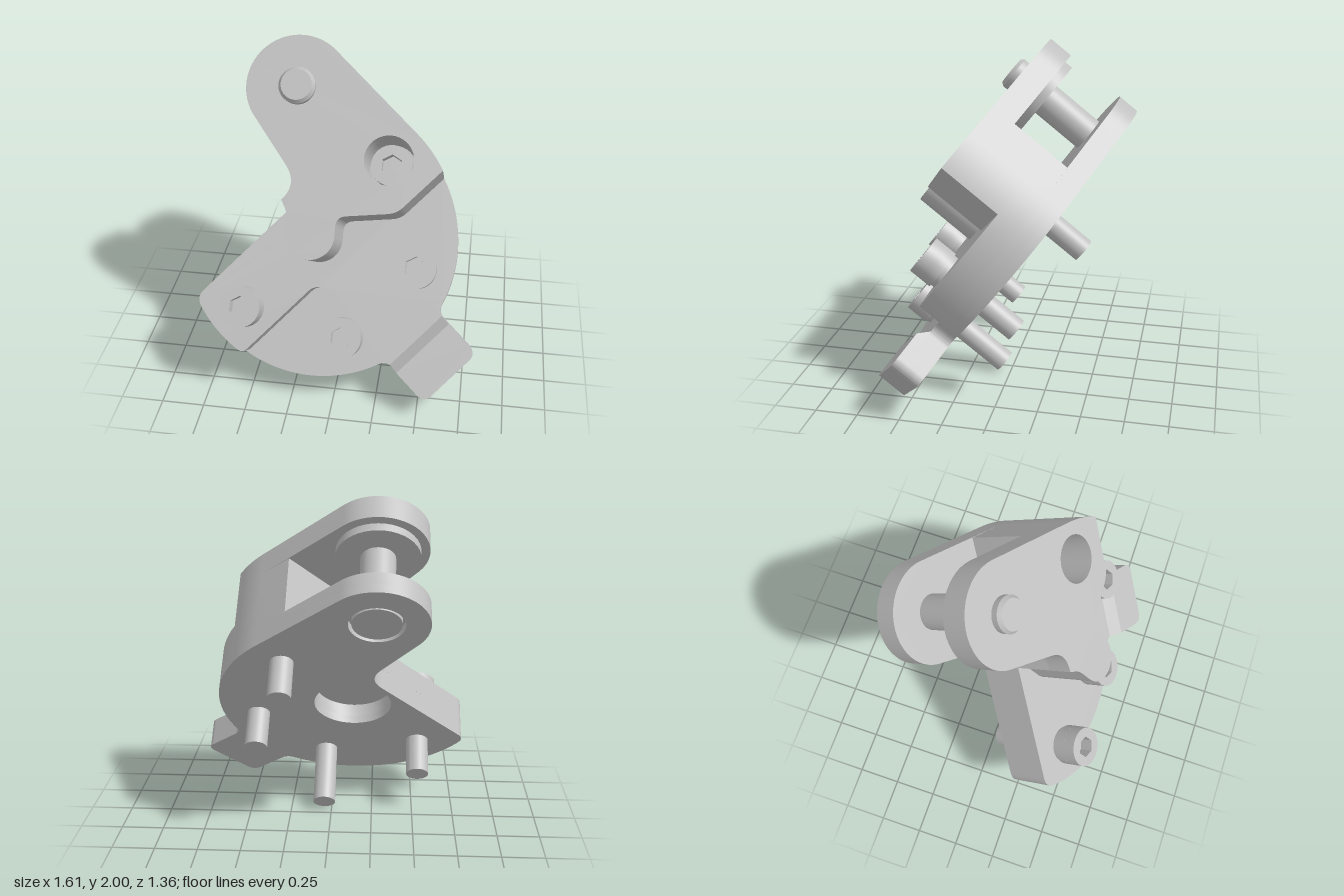
import * as THREE from 'three';
import { toCreasedNormals } from 'three/addons/utils/BufferGeometryUtils.js';

const metal = new THREE.MeshStandardMaterial({ color: 0xbfbfbf });
metal.name = 'plain grey metal';

const rad = (d) => (d * Math.PI) / 180;
const HUB = [-0.13, 0.577];   // centre of the disc
const PIVOT = [-0.27, 1.386]; // centre of the two lugs
const DISC = 0.8, LUG = 0.29, TAB_ANGLE = -42, TAB_HALF = 0.207;

// Outline from corners [x, y, trim] and arcs { c, r, a, b } in degrees; trim rounds a corner.
function outline(items) {
  const at = (c, r, d) => [c[0] + r * Math.cos(rad(d)), c[1] + r * Math.sin(rad(d))];
  const first = (i) => (i.c ? at(i.c, i.r, i.a) : i);
  const last = (i) => (i.c ? at(i.c, i.r, i.b) : i);
  const toward = (p, q, t) => {
    const d = Math.hypot(q[0] - p[0], q[1] - p[1]);
    return [p[0] + ((q[0] - p[0]) * t) / d, p[1] + ((q[1] - p[1]) * t) / d];
  };
  const shape = new THREE.Shape();
  let started = false;
  const go = (p) => {
    if (started) shape.lineTo(p[0], p[1]);
    else shape.moveTo(p[0], p[1]);
    started = true;
  };
  items.forEach((item, i) => {
    if (item.c) {
      go(first(item));
      shape.absarc(item.c[0], item.c[1], item.r, rad(item.a), rad(item.b), item.b < item.a);
    } else if (item[2]) {
      const prev = last(items[(i + items.length - 1) % items.length]);
      const next = first(items[(i + 1) % items.length]);
      go(toward(item, prev, item[2]));
      shape.quadraticCurveTo(item[0], item[1], ...toward(item, next, item[2]));
    } else go(item);
  });
  return shape;
}

function addHole(shape, [x, y], r) {
  shape.holes.push(new THREE.Path().absarc(x, y, r, 0, Math.PI * 2, true));
  return shape;
}

function extrude(shape, from, to) {
  const g = new THREE.ExtrudeGeometry(shape, { depth: to - from, bevelEnabled: false, curveSegments: 18 });
  return g.translate(0, 0, from);
}

function add(parent, name, geometry) {
  const mesh = new THREE.Mesh(toCreasedNormals(geometry, 0.5), metal);
  mesh.name = name;
  parent.add(mesh);
  return mesh;
}

// Cylinder along the plate normal
function rod(parent, name, [x, y], r, from, to, rTop = r) {
  const g = new THREE.CylinderGeometry(rTop, r, to - from, 40);
  return add(parent, name, g.rotateX(Math.PI / 2).translate(x, y, (from + to) / 2));
}

// Point given by distance along the tab axis and sideways from it
function tabPoint(along, side, trim) {
  const c = Math.cos(rad(TAB_ANGLE)), s = Math.sin(rad(TAB_ANGLE));
  return [HUB[0] + along * c - side * s, HUB[1] + along * s + side * c, trim];
}

function basePlate(withPinHole) {
  const shape = outline([
    { c: PIVOT, r: LUG, a: 48.1, b: 218 },
    [-0.219, 0.85, 0.126],
    [-0.824, 0.179, 0.06],
    { c: HUB, r: DISC, a: 215, b: 299 },
    tabPoint(0.773, -TAB_HALF, 0.05),
    tabPoint(1.095, -TAB_HALF, 0.06),
    tabPoint(1.095, TAB_HALF, 0.06),
    tabPoint(0.773, TAB_HALF, 0.05),
    { c: HUB, r: DISC, a: -23, b: 48.1 },
  ]);
  addHole(shape, HUB, 0.23);
  return withPinHole ? addHole(shape, PIVOT, 0.155) : shape;
}

function upperPlate() {
  return outline([
    [-0.304, 0.756],
    [-0.824, 0.179, 0.06],
    { c: HUB, r: DISC, a: 215, b: 238 },
    [-0.52, -0.121, 0.035],
    [-0.14, 0.3, 0.04],
    [0.605, 0.262, 0.025],
    { c: HUB, r: DISC, a: -20.5, b: 48.1 },
    [0.235, 1.32],
    [-0.262, 0.77],
  ]);
}

// Block above the plate; its top slice also carries the front lug
function block(withLug) {
  const rim = Math.atan2(0.405, 0.69) * 180 / Math.PI;
  const upper = withLug
    ? [{ c: PIVOT, r: LUG, a: 48.1, b: 218 }, [-0.219, 0.85, 0.126]]
    : [[0.235, 1.32], [-0.262, 0.77]];
  const shape = outline([
    ...upper,
    [-0.304, 0.756],
    [-0.265, 0.69, 0.04],
    { c: HUB, r: 0.135, a: 180, b: 360 },
    [0.005, 0.687, 0.055],
    [0.33, 0.731, 0.05],
    { c: HUB, r: DISC, a: rim, b: 48.1 },
  ]);
  return addHole(shape, [0.265, 1.015], 0.137);
}

// Raised pad of the tab, with a sloped inner edge
function tabPad() {
  const g = extrude(outline([
    [0.8, -TAB_HALF], [1.095, -TAB_HALF, 0.06], [1.095, TAB_HALF, 0.06], [0.8, TAB_HALF],
  ]), 0.575, 0.635);
  const p = g.attributes.position;
  for (let i = 0; i < p.count; i++) {
    if (p.getZ(i) > 0.63 && p.getX(i) < 0.81) p.setX(i, 0.865);
  }
  return g.rotateZ(rad(TAB_ANGLE)).translate(HUB[0], HUB[1], 0);
}

// Socket screw: shank, neck and a head with a six-sided recess
function screw(parent, name, pos, seat, end) {
  const group = new THREE.Group();
  group.name = name;
  const under = seat + 0.025, floor = seat + 0.085, top = seat + 0.165;
  rod(group, 'shank', pos, 0.068, end, seat);
  rod(group, 'neck', pos, 0.105, seat - 0.01, under);
  rod(group, 'headBase', pos, 0.117, under, floor);
  const ring = new THREE.Shape().absarc(0, 0, 0.117, 0, Math.PI * 2, false);
  const hex = new THREE.Path();
  for (let i = 0; i < 6; i++) {
    const a = Math.PI / 2 - (i * Math.PI) / 3;
    const x = 0.063 * Math.cos(a), y = 0.063 * Math.sin(a);
    if (i) hex.lineTo(x, y);
    else hex.moveTo(x, y);
  }
  hex.closePath();
  ring.holes.push(hex);
  add(group, 'socketHead', extrude(ring, floor, top).translate(pos[0], pos[1], 0));
  parent.add(group);
}

export function createModel() {
  const model = new THREE.Group();
  model.name = 'clampBracket';
  const body = new THREE.Group();
  body.name = 'tiltedBody';
  body.rotation.x = rad(-38);
  model.add(body);

  // Stacked plates and block
  add(body, 'basePlateBack', extrude(basePlate(true), 0.45, 0.5));
  add(body, 'basePlateFront', extrude(basePlate(false), 0.5, 0.58));
  add(body, 'tabPad', tabPad());
  add(body, 'upperPlate', extrude(upperPlate(), 0.58, 0.72));
  add(body, 'block', extrude(block(false), 0.72, 0.955));
  add(body, 'frontLug', extrude(block(true), 0.955, 1.106));

  // Pivot pin through both lugs
  rod(body, 'lugBoss', PIVOT, 0.24, 0.905, 0.955);
  rod(body, 'pin', PIVOT, 0.1, 0.5, 1.145);
  rod(body, 'pinTip', PIVOT, 0.102, 1.145, 1.167, 0.086);
  rod(body, 'pinHead', PIVOT, 0.137, 0.455, 0.5);

  // Screws
  screw(body, 'leftSideScrew', [0.445, 0.453], 0.72, 0.21);
  screw(body, 'rightSideScrew', [-0.53, 0.147], 0.72, 0.21);
  screw(body, 'lowerScrew', [0.045, 0.018], 0.58, 0.07);
  screw(body, 'recessedScrew', [0.265, 1.015], 0.72, 0.21);
  return model;
}
